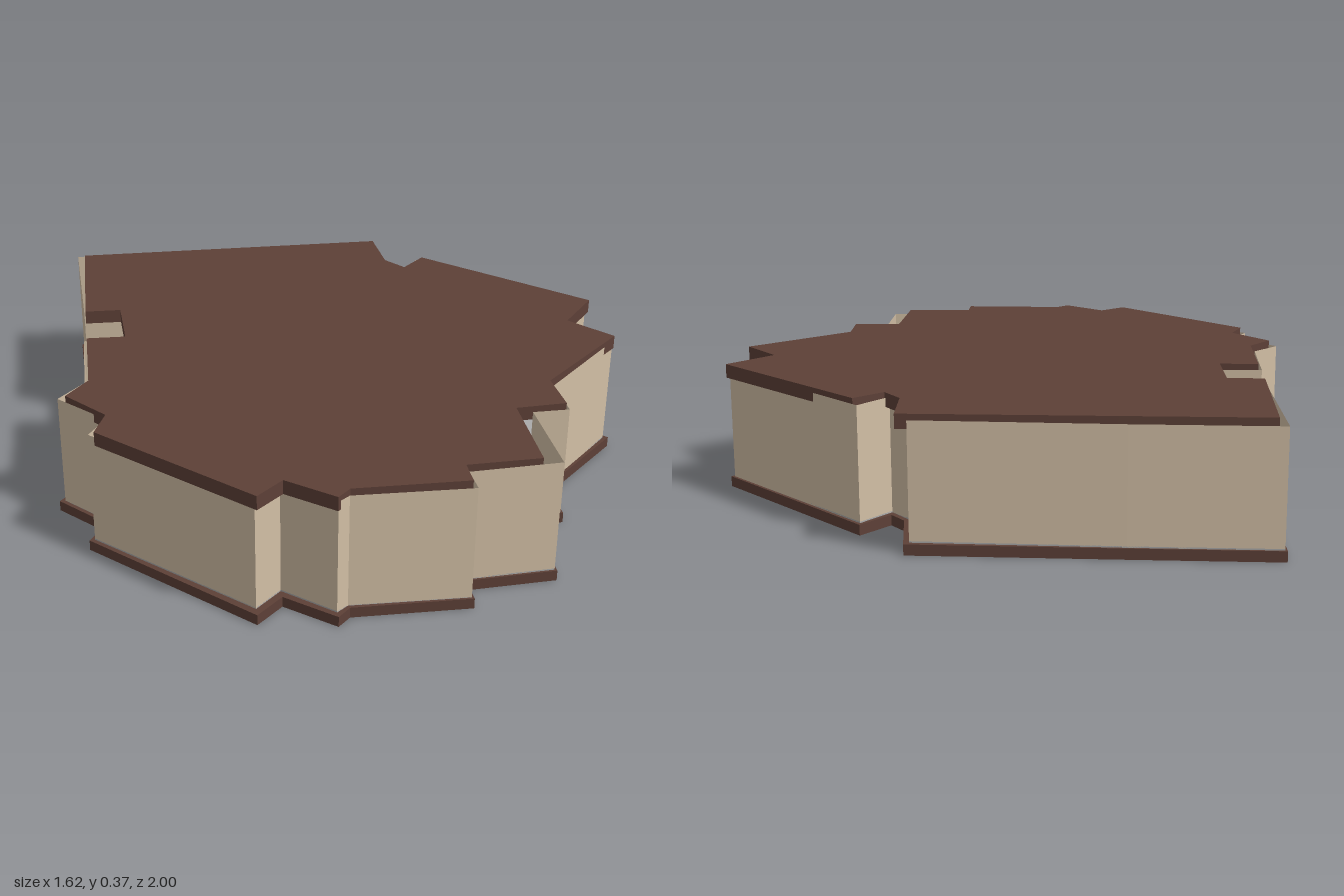
import * as THREE from 'three';

const material = (name, color, extra = {}) => {
  const m = new THREE.MeshStandardMaterial({ color, ...extra });
  m.name = name;
  return m;
};

// Ground plan of the base: x, z, and how far the wall stands inside the edge
const PLAN = [
  [0, -1, 0.006], [0.31, -0.735, 0.006], [0.745, -0.36, 0.015], [0.635, -0.19, 0.015],
  [0.635, -0.125, 0.015], [0.75, -0.15, 0.01], [0.81, 0.49, 0.008], [0.635, 0.525, 0.012],
  [0.64, 0.7, 0.012], [0.265, 0.73, 0.006], [0.175, 0.845, 0.006], [0.095, 0.78, 0.006],
  [-0.08, 0.995, 0.006], [-0.28, 0.845, 0.006], [-0.33, 0.91, 0.006], [-0.575, 0.7, 0.01],
  [-0.625, 0.705, 0.015], [-0.655, 0.54, 0.02], [-0.757, 0.548, 0.02], [-0.81, -0.03, 0.012],
  [-0.72, -0.06, 0.012], [-0.73, -0.25, 0.012], [-0.61, -0.27, 0.012], [-0.425, -0.487, 0.012],
  [-0.33, -0.41, 0.012], [-0.22, -0.535, 0.012], [-0.3, -0.62, 0.006],
];

// Ground plan of the roof, slightly smaller
const ROOF = [
  [0, -0.955], [0.31, -0.695], [0.745, -0.33], [0.64, -0.19], [0.635, -0.105],
  [0.74, -0.115], [0.81, 0.49], [0.635, 0.525], [0.635, 0.69], [0.26, 0.715],
  [0.175, 0.825], [0.06, 0.74], [-0.12, 0.95], [-0.28, 0.825], [-0.33, 0.885],
  [-0.565, 0.685], [-0.615, 0.69], [-0.645, 0.535], [-0.745, 0.54], [-0.795, 0],
  [-0.71, -0.05], [-0.71, -0.215], [-0.605, -0.24], [-0.425, -0.455], [-0.34, -0.38],
  [-0.22, -0.535], [-0.3, -0.605],
];

// Moves each corner inward by its own distance along the mitre
function inset(points) {
  const n = points.length;
  const normal = (a, b) => new THREE.Vector2(a[1] - b[1], b[0] - a[0]).normalize();
  return points.map((p, i) => {
    const n1 = normal(points[(i + n - 1) % n], p);
    const n2 = normal(p, points[(i + 1) % n]);
    const k = p[2] / (1 + n1.dot(n2));
    return [p[0] + (n1.x + n2.x) * k, p[1] + (n1.y + n2.y) * k];
  });
}

// Flat slab over a plan, from y0 to y1
function slab(points, y0, y1) {
  const shape = new THREE.Shape(points.map(([x, z]) => new THREE.Vector2(x, -z)));
  const geo = new THREE.ExtrudeGeometry(shape, { depth: y1 - y0, bevelEnabled: false });
  return geo.rotateX(-Math.PI / 2).translate(0, y0, 0);
}

// Thin upright wall following a closed plan
function wallBand(points, y0, y1) {
  const pos = [];
  points.forEach(([ax, az], i) => {
    const [bx, bz] = points[(i + 1) % points.length];
    pos.push(ax, y0, az, ax, y1, az, bx, y1, bz, ax, y0, az, bx, y1, bz, bx, y0, bz);
  });
  const geo = new THREE.BufferGeometry();
  geo.setAttribute('position', new THREE.Float32BufferAttribute(pos, 3));
  geo.computeVertexNormals();
  return geo;
}

export function createModel() {
  const brown = material('brown', 0x5d4037);
  const tan = material('tan', 0xd2bfa5, { side: THREE.DoubleSide });
  const grey = material('grey', 0xaaaaaa);
  const red = material('reddish brown', 0x7d453b);

  const model = new THREE.Group();
  model.name = 'building';
  const add = (name, geo, mat) => {
    const mesh = new THREE.Mesh(geo, mat);
    mesh.name = name;
    model.add(mesh);
    return mesh;
  };

  const wallPlan = inset(PLAN);
  add('base', slab(PLAN, 0, 0.03), brown);
  add('floor', slab(wallPlan, 0.03, 0.034), grey);
  add('walls', wallBand(wallPlan, 0.03, 0.355), tan);
  add('roof', slab(ROOF, 0.33, 0.37), brown);

  // Door on the short side wall
  add('door', new THREE.BoxGeometry(0.008, 0.235, 0.12), red).position.set(0.627, 0.152, 0.62);
  return model;
}
